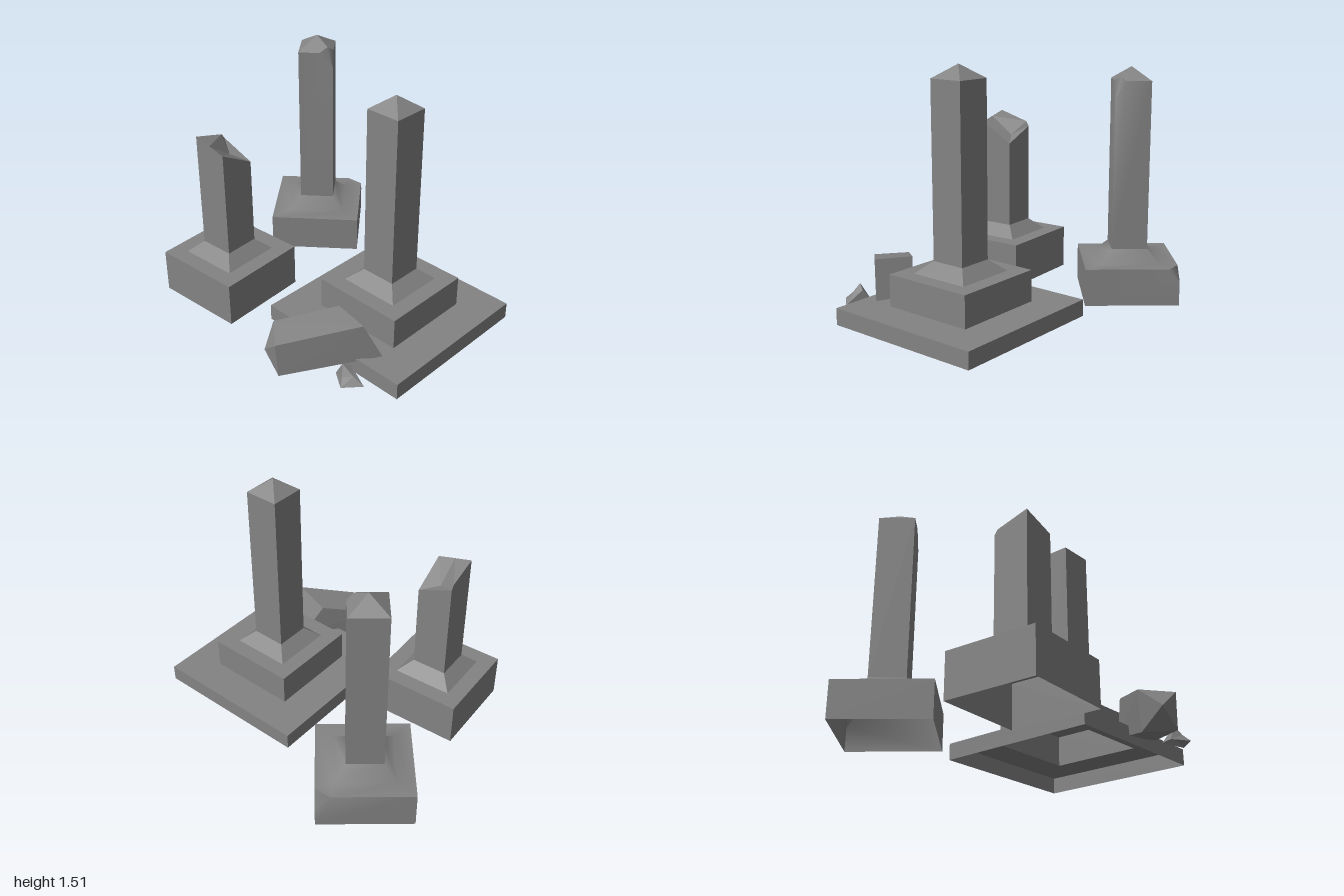
import * as THREE from 'three';
import { ConvexGeometry } from 'three/addons/geometries/ConvexGeometry.js';
import { toCreasedNormals } from 'three/addons/utils/BufferGeometryUtils.js';

const color = 0x838383;
const flat = new THREE.MeshStandardMaterial({ color, flatShading: true, side: THREE.DoubleSide });
const soft = new THREE.MeshStandardMaterial({ color, side: THREE.DoubleSide });

// Mesh from points and polygons (each polygon fanned into triangles);
// edges bent less than the crease angle are shaded smoothly
function shell(name, points, polygons, crease = 0) {
  const index = [];
  for (const p of polygons) {
    for (let i = 1; i < p.length - 1; i++) index.push(p[0], p[i], p[i + 1]);
  }
  let geometry = new THREE.BufferGeometry();
  geometry.setAttribute('position', new THREE.Float32BufferAttribute(points.flat(), 3));
  geometry.setIndex(index);
  geometry = geometry.toNonIndexed();
  geometry.computeVertexNormals();
  if (crease) geometry = toCreasedNormals(geometry, crease);
  const mesh = new THREE.Mesh(geometry, crease ? soft : flat);
  mesh.name = name;
  return mesh;
}

// Four corners of a square, counter-clockwise from above, starting front +x
const square = (h, y) => [[h, y, h], [h, y, -h], [-h, y, -h], [-h, y, h]];

// Skin a stack of four-cornered rings; a one-point ring closes it to a tip
function loft(name, rings) {
  const polygons = [];
  let start = 0;
  for (let r = 0; r < rings.length - 1; r++) {
    const next = start + 4;
    for (let i = 0; i < 4; i++) {
      const j = (i + 1) % 4;
      polygons.push(rings[r + 1].length === 1
        ? [start + i, start + j, next]
        : [start + i, start + j, next + j, next + i]);
    }
    start = next;
  }
  return shell(name, rings.flat(), polygons);
}

function place(name, x, z, turn, parts) {
  const group = new THREE.Group();
  group.name = name;
  group.position.set(x, 0, z);
  group.rotation.y = turn;
  group.add(...parts);
  return group;
}

// Tall pillar on a slab and a step, hollow underneath
function steppedPillar() {
  return place('steppedPillar', 0.008, 0.479, 0.027, [
    loft('slabAndStep', [[0.508, 0.013], [0.508, 0.115], [0.29, 0.115], [0.29, 0.308], [0.19, 0.308]]
      .map(p => square(...p))),
    loft('pillarShaft', [square(0.19, 0.308), square(0.11, 0.38), square(0.11, 1.427), [[0, 1.508, 0]]]),
  ]);
}

// Pillar snapped off at a slant
function brokenPillar() {
  const h = 0.11;
  const rim = [[h, 0.91, h], [h, 1.0, -h], [-h, 1.09, -h], [-h, 1.035, h]];
  const fracture = [...rim, [-h, 1.062, 0], [0.045, 0.95, 0], [h - 0.02, 1.03, -h]];
  return place('brokenPillar', -0.463, -0.457, 0.093, [
    loft('brokenPillarBase', [square(0.287, 0.013), square(0.287, 0.288), square(0.187, 0.288)]),
    loft('brokenPillarShaft', [square(0.187, 0.288), square(h, 0.36), rim]),
    shell('fractureTop', fracture,
      [[2, 4, 6], [4, 5, 6], [4, 3, 5], [3, 0, 5], [0, 1, 5], [1, 6, 5], [1, 2, 6]]),
  ]);
}

// Pillar turned on its corner, with a chipped base and a chipped top
function chippedPillar() {
  const b = 0.287, h = 0.11, top = 0.243;
  const lip = [[b, top, b - 0.09], [b, top, -b], [-b, top, -b], [-b, top, b], [b - 0.065, top, b]];
  const walls = shell('chippedBase', [...square(b, 0.013), ...lip, [b, 0.165, b]],
    [[0, 1, 5, 4, 9], [1, 2, 6, 5], [2, 3, 7, 6], [3, 0, 9, 8, 7], [9, 4, 8]], 1.1);
  const flare = shell('baseFlare', [...lip, ...square(0.18, top), ...square(h, 0.32)],
    [[0, 1, 6, 5], [1, 2, 7, 6], [2, 3, 8, 7], [3, 4, 5, 8], [4, 0, 5],
      [5, 6, 10, 9], [6, 7, 11, 10], [7, 8, 12, 11], [8, 5, 9, 12]], Math.PI);

  // The chip blends into the shaft's left face; the cap stays faceted
  const shaftPoints = [
    ...square(h, 0.32), ...square(h, 1.365).slice(0, 3),
    [-h, 1.26, h], [-h, 1.365, 0.025], [-0.045, 1.365, h], [-0.073, 1.391, 0.073], [0, 1.445, 0],
  ];
  const shaft = shell('chippedShaft', shaftPoints,
    [[0, 1, 5, 4], [1, 2, 6, 5], [2, 3, 7, 8, 6], [3, 0, 4, 9, 7], [7, 9, 10, 8]], 0.87);
  const cap = shell('chippedCap', shaftPoints, [[4, 5, 11], [5, 6, 11], [6, 8, 10, 11], [9, 4, 11, 10]]);
  return place('chippedPillar', 0.434, -0.595, 0.724, [walls, flare, shaft, cap]);
}

// Fallen piece of shaft leaning on the slab
function fallenBlock() {
  const corners = [
    [-0.407, 0.32, 0.47], [-0.317, 0.117, 0.56], [-0.38, 0.125, 0.79], [-0.466, 0.345, 0.72],
    [-0.7, 0.235, 0.23], [-0.683, 0, 0.27], [-0.827, 0.015, 0.41], [-0.838, 0.232, 0.4],
    [-0.82, 0.13, 0.286],
  ];
  const mesh = new THREE.Mesh(new ConvexGeometry(corners.map(p => new THREE.Vector3(...p))), flat);
  mesh.name = 'fallenBlock';
  return mesh;
}

// Small chip of stone: four sloping sides and a tilted top
function smallStone() {
  return shell('smallStone', [
    [-0.587, 0.067, 0.847], [-0.54, 0.07, 0.69], [-0.62, 0.07, 0.66], [-0.688, 0.07, 0.767],
    [-0.605, 0.11, 0.783], [-0.57, 0.135, 0.732], [-0.617, 0.165, 0.71], [-0.65, 0.108, 0.74],
  ], [[0, 1, 5, 4], [1, 2, 6, 5], [2, 3, 7, 6], [3, 0, 4, 7], [4, 5, 6, 7]]);
}

export function createModel() {
  const model = new THREE.Group();
  model.name = 'ruinedPillars';
  model.add(steppedPillar(), brokenPillar(), chippedPillar(), fallenBlock(), smallStone());
  return model;
}
